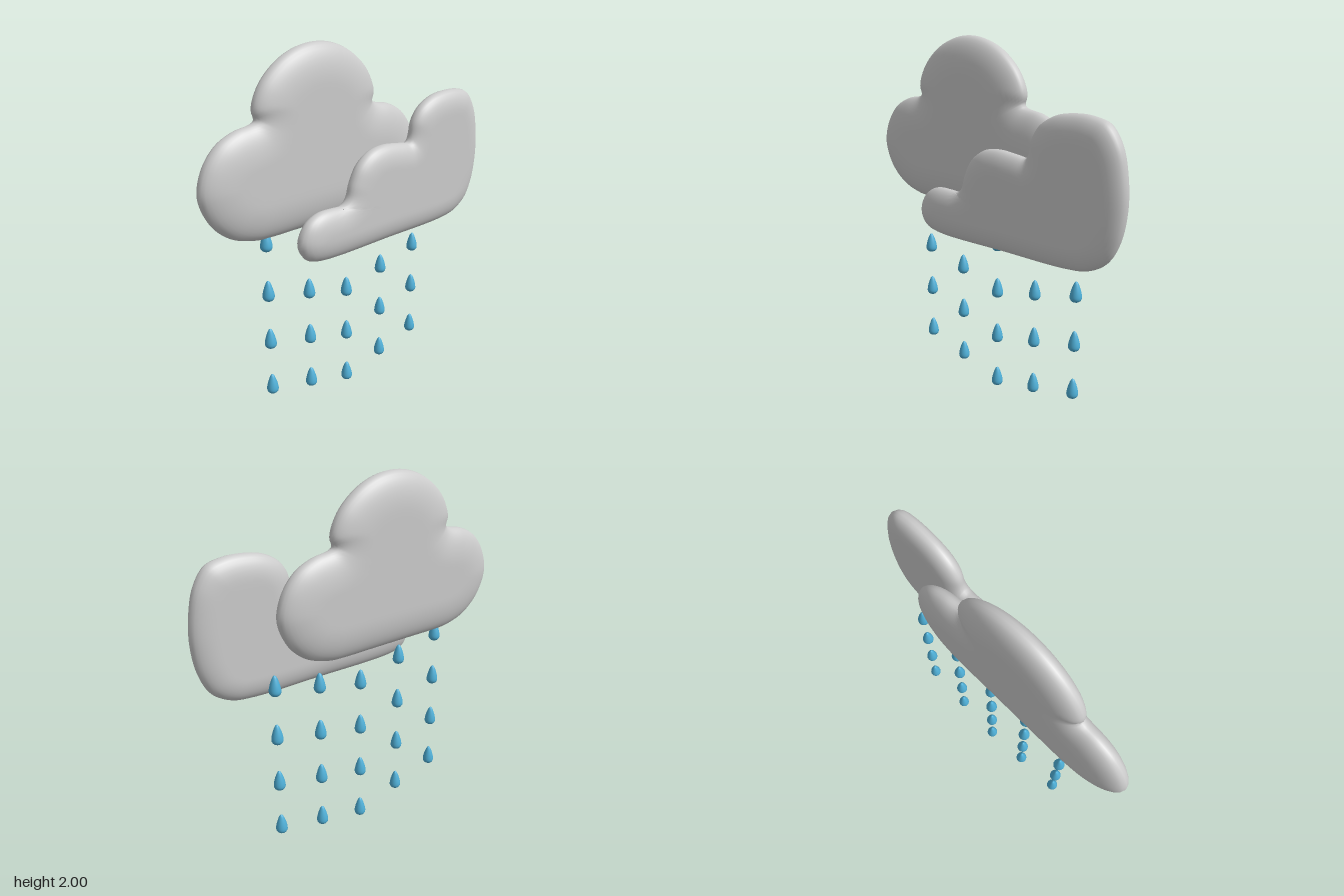
import * as THREE from 'three';

const grey = new THREE.MeshStandardMaterial({ color: 0xcccccc });
const blue = new THREE.MeshStandardMaterial({ color: 0x4fb0d8 });

// Pillow: a closed outline (counter-clockwise) inflated to both sides,
// with an elliptical edge of the given width
function pillow(points, centre, halfDepth, edge) {
  const curve = new THREE.CatmullRomCurve3(
    points.map(([x, y]) => new THREE.Vector3(x, y, 0)), true, 'centripetal');
  const N = 220, R = 18;
  const rim = curve.getSpacedPoints(N).slice(0, N);
  const c = new THREE.Vector3(centre[0], centre[1], 0);
  const segs = rim.map((p, i) => new THREE.Line3(p, rim[(i + 1) % N]));
  const hit = new THREE.Vector3();
  const height = (p) => {
    let d = Infinity;
    for (const s of segs) d = Math.min(d, s.closestPointToPoint(p, true, hit).distanceTo(p));
    const u = 1 - Math.min(d / edge, 1);
    return halfDepth * Math.sqrt(1 - u * u);
  };

  // Rings run from the front centre over the rim to the back centre
  const pos = [], index = [];
  const rings = [];
  for (let r = 0; r < R; r++) {
    const scale = 1 - Math.pow(r / R, 1.6);
    rings.push(rim.map((p) => {
      const q = c.clone().lerp(p, scale);
      return [q.x, q.y, r === 0 ? 0 : height(q)];
    }));
  }
  for (let k = R - 1; k > -R; k--) {
    for (const [x, y, z] of rings[Math.abs(k)]) pos.push(x, y, k < 0 ? -z : z);
  }
  const rows = 2 * R - 1;
  for (let r = 0; r < rows - 1; r++) {
    for (let i = 0; i < N; i++) {
      const j = (i + 1) % N, a = r * N, b = a + N;
      index.push(a + i, b + i, b + j, a + i, b + j, a + j);
    }
  }
  const front = rows * N, last = (rows - 1) * N, hc = height(c);
  pos.push(c.x, c.y, hc, c.x, c.y, -hc);
  for (let i = 0; i < N; i++) {
    const j = (i + 1) % N;
    index.push(front, i, j, front + 1, last + j, last + i);
  }
  const g = new THREE.BufferGeometry();
  g.setAttribute('position', new THREE.Float32BufferAttribute(pos, 3));
  g.setIndex(index);
  g.computeVertexNormals();
  return g;
}

export function createModel() {
  const model = new THREE.Group();
  const add = (name, geometry, material, x, y, z, parent = model) => {
    const mesh = new THREE.Mesh(geometry, material);
    mesh.name = name;
    mesh.position.set(x, y, z);
    parent.add(mesh);
  };

  // Back cloud: right half of the outline, mirrored about its own axis
  const half = [
    [0.15, 1.06], [0.33, 1.06], [0.42, 1.067], [0.55, 1.11], [0.66, 1.21], [0.712, 1.35],
    [0.68, 1.48], [0.6, 1.58], [0.5, 1.63], [0.4, 1.65], [0.377, 1.665],
    [0.39, 1.7], [0.383, 1.75], [0.335, 1.84], [0.235, 1.93], [0.12, 1.983],
  ];
  const backOutline = [
    ...half, [0, 2],
    ...half.map(([x, y]) => [-x, y]).reverse(),
  ];
  add('backCloud', pillow(backOutline, [0, 1.42], 0.08, 0.2), grey, -0.2, 0, -0.063);

  // Front cloud: three lobes stepping up to the left
  const frontOutline = [
    [-0.32, 0.915], [0.2, 0.912], [0.6, 0.917], [0.72, 0.937], [0.82, 1.0], [0.88, 1.11],
    [0.908, 1.27], [0.9, 1.42], [0.865, 1.56], [0.8, 1.65], [0.72, 1.676], [0.62, 1.68],
    [0.5, 1.66], [0.41, 1.61], [0.36, 1.54], [0.342, 1.46], [0.325, 1.432], [0.27, 1.437],
    [0.13, 1.45], [0.03, 1.43], [-0.05, 1.37], [-0.1, 1.28], [-0.125, 1.205],
    [-0.16, 1.177], [-0.22, 1.178], [-0.32, 1.175], [-0.4, 1.135], [-0.447, 1.05],
    [-0.44, 0.99], [-0.4, 0.94],
  ];
  add('frontCloud', pillow(frontOutline, [0.4, 1.08], 0.064, 0.127), grey, 0, 0, 0.08);

  // Raindrops: five columns of four, each column starting at its own height
  const profile = new THREE.SplineCurve([
    [0, 0], [0.018, 0.003], [0.029, 0.014], [0.032, 0.03], [0.027, 0.058],
    [0.018, 0.087], [0.009, 0.107], [0, 0.115],
  ].map(([x, y]) => new THREE.Vector2(x, y))).getPoints(21);
  profile.forEach((p) => { p.x = Math.max(p.x, 0); });
  const drop = new THREE.LatheGeometry(profile, 20);
  const rain = new THREE.Group();
  rain.name = 'rain';
  model.add(rain);
  [0.15, 0.077, 0, 0.06, 0.125].forEach((base, col) => {
    for (let row = 0; row < 4; row++) {
      add('raindrop', drop, blue, (col - 2) * 0.272, base + row * 0.279, -0.063, rain);
    }
  });
  return model;
}
